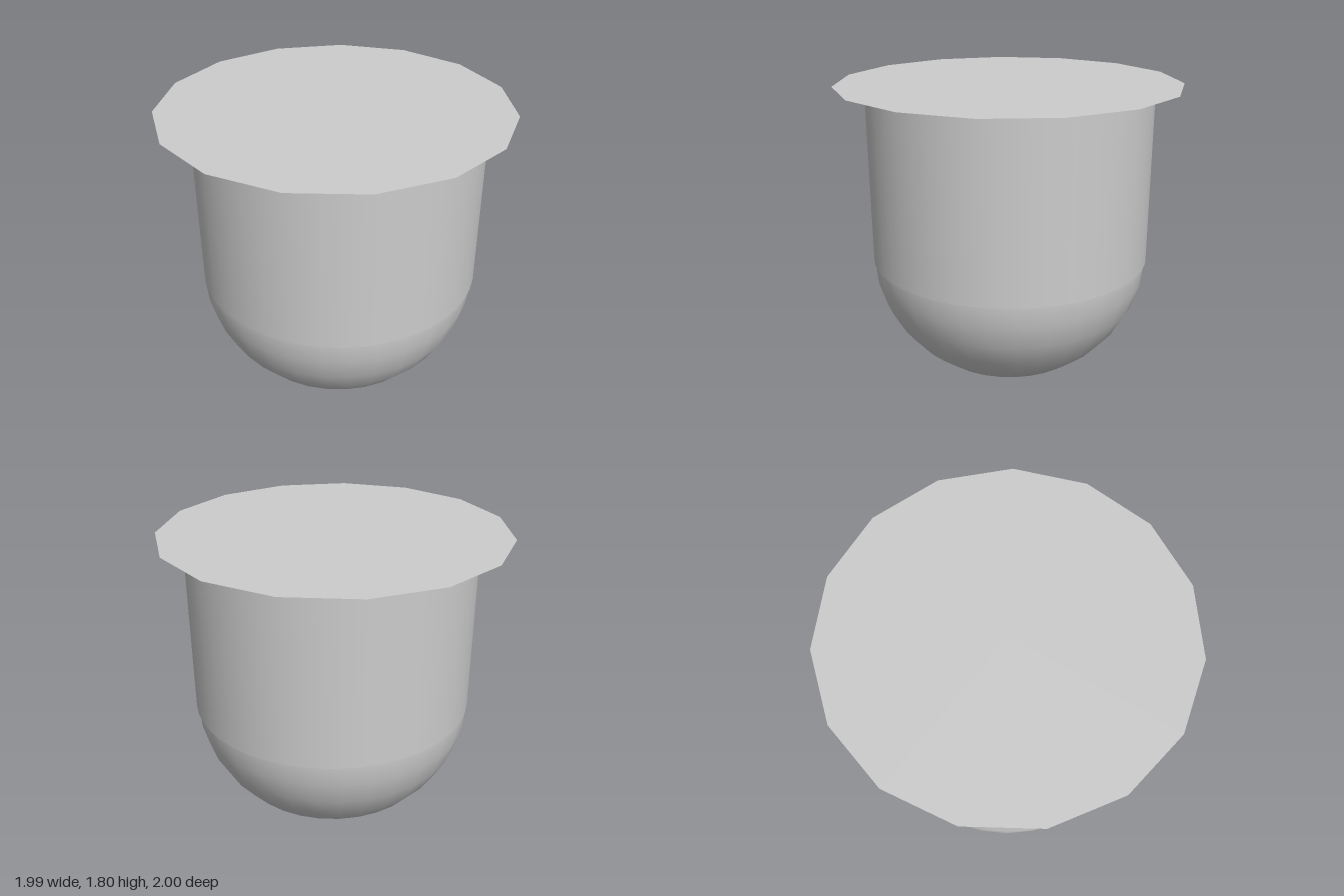
import * as THREE from 'three';

export function createModel() {
  const model = new THREE.Group();
  const grey = new THREE.MeshStandardMaterial({ color: 0xcccccc, side: THREE.DoubleSide });
  grey.name = 'light grey';

  const add = (name, geometry, x, y) => {
    const mesh = new THREE.Mesh(geometry, grey);
    mesh.name = name;
    mesh.position.set(x, y, 0);
    model.add(mesh);
  };

  // Slightly flattened rounded bottom
  const bowl = new THREE.SphereGeometry(0.828, 32, 8, 0, Math.PI * 2, Math.PI / 2, Math.PI / 2);
  bowl.scale(1, 0.786 / 0.828, 1);
  add('roundedBottom', bowl, 0, 0.786);

  // Straight wall, overlapping the rim of the bottom
  add('wall', new THREE.CylinderGeometry(0.83, 0.83, 1.04, 48, 1, true), 0.005, 1.278);

  // Flat fifteen-sided lid without thickness
  const lid = new THREE.CircleGeometry(1.0055, 15);
  lid.rotateX(-Math.PI / 2);
  add('lid', lid, -0.015, 1.798);

  return model;
}
